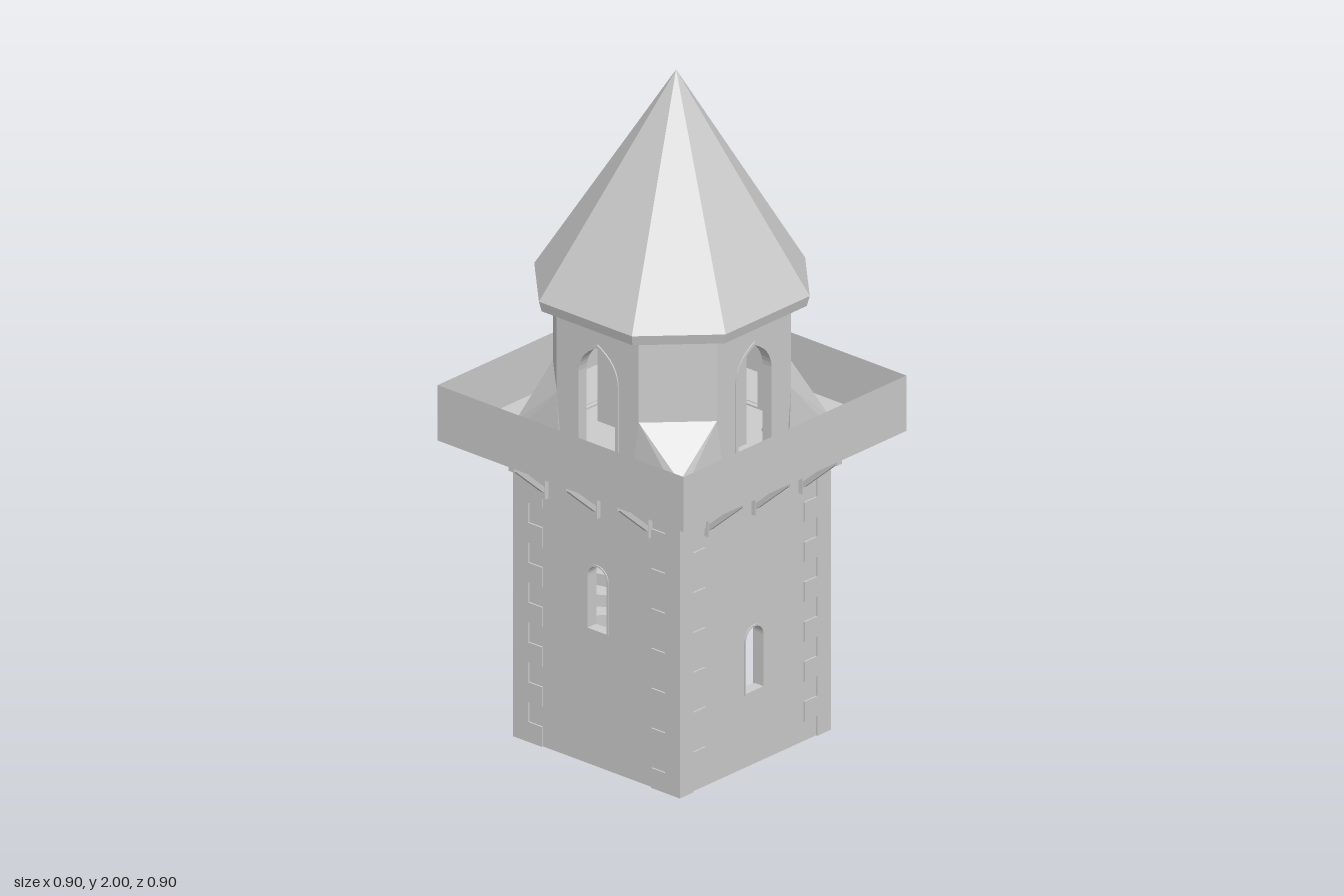
import * as THREE from 'three';
import { ConvexGeometry } from 'three/addons/geometries/ConvexGeometry.js';

const stone = new THREE.MeshStandardMaterial({ color: 0xcccccc, flatShading: true });
const sheet = new THREE.MeshStandardMaterial({ color: 0xcccccc, flatShading: true, side: THREE.DoubleSide });

function add(parent, name, geometry, x = 0, y = 0, z = 0, material = stone) {
  const mesh = new THREE.Mesh(geometry, material);
  mesh.name = name;
  mesh.position.set(x, y, z);
  parent.add(mesh);
  return mesh;
}

// Box given by its min and max on each axis
function block(parent, name, x0, x1, y0, y1, z0, z1) {
  return add(parent, name, new THREE.BoxGeometry(x1 - x0, y1 - y0, z1 - z0),
    (x0 + x1) / 2, (y0 + y1) / 2, (z0 + z1) / 2);
}

// Outline of an opening: round or pointed arch, or plain rectangle
function opening(PathType, w, y0, y1, kind) {
  const p = new PathType();
  p.moveTo(-w, y0);
  p.lineTo(w, y0);
  if (kind === 'round') {
    p.lineTo(w, y1 - w);
    p.absarc(0, y1 - w, w, 0, Math.PI, false);
  } else if (kind === 'pointed') {
    const spring = y1 - w * 1.3;
    p.lineTo(w, spring);
    p.quadraticCurveTo(w * 0.95, spring + w * 0.85, 0, y1);
    p.quadraticCurveTo(-w * 0.95, spring + w * 0.85, -w, spring);
  } else {
    p.lineTo(w, y1);
    p.lineTo(-w, y1);
  }
  p.closePath();
  return p;
}

// Wall whose outer face lies at z = front
function wall(parent, name, halfWidth, y0, y1, front, depth, hole) {
  const shape = opening(THREE.Shape, halfWidth, y0, y1, 'rect');
  shape.holes.push(hole);
  add(parent, name, new THREE.ExtrudeGeometry(shape, { depth, bevelEnabled: false, curveSegments: 8 }), 0, 0, front - depth);
}

// Thin trim around an opening
function trim(parent, name, w, y0, y1, kind, band, front, depth) {
  const shape = opening(THREE.Shape, w, y0, y1, kind);
  shape.holes.push(opening(THREE.Path, w - band, y0 + band, y1 - band, kind));
  add(parent, name, new THREE.ExtrudeGeometry(shape, { depth, bevelEnabled: false, curveSegments: 8 }), 0, 0, front - depth);
}

// Irregular octagon ring: half width a, half side b
function octagon(a, b, y) {
  return [[b, a], [a, b], [a, -b], [b, -a], [-b, -a], [-a, -b], [-a, b], [-b, a]]
    .map(([x, z]) => new THREE.Vector3(x, y, z));
}

export function createModel() {
  const tower = new THREE.Group();
  tower.name = 'tower';

  // Base slab and the small block beneath it
  block(tower, 'base', -0.3, 0.3, 0.02, 0.03, -0.3, 0.3);
  block(tower, 'footBlock', 0.03, 0.08, 0, 0.02, 0.1, 0.245);

  // Four sides: front, door side, back, left-over window side
  const openings = [[0.04, 0.235, 0.435], null, [0.04, 0.58, 0.78], [0.04, 0.42, 0.62]];
  openings.forEach((win, i) => {
    const side = new THREE.Group();
    side.name = ['frontSide', 'doorSide', 'backSide', 'farSide'][i];
    side.rotation.y = i * Math.PI / 2;
    tower.add(side);

    // Shaft wall with a door or an arched window
    const hole = win ? opening(THREE.Path, ...win, 'round') : opening(THREE.Path, 0.078, 0.031, 0.37, 'rect');
    wall(side, 'shaftWall', i % 2 ? 0.26 : 0.3, 0.02, 0.91, 0.3, 0.04, hole);
    if (win) trim(side, 'windowFrame', ...win, 'round', 0.005, 0.303, 0.03);

    // Gallery brackets
    for (const x of [-0.19, 0, 0.19]) {
      const bracket = new THREE.Group();
      bracket.name = 'bracket';
      bracket.position.x = x;
      side.add(bracket);
      block(bracket, 'bracketBeam', -0.01, 0.01, 0.888, 0.905, 0.3, 0.44);
      block(bracket, 'bracketPost', -0.01, 0.01, 0.765, 0.89, 0.3, 0.315);
      const strut = add(bracket, 'bracketStrut', new THREE.BoxGeometry(0.016, 0.014, 0.16), 0, 0.84, 0.367);
      strut.rotation.x = -Math.atan2(0.11, 0.125);
    }

    // Lantern wall with a pointed arch, and the diagonal wall beside it
    wall(side, 'lanternWall', 0.15, 0.91, 1.345, 0.3, 0.03, opening(THREE.Path, 0.068, 0.92, 1.268, 'pointed'));
    trim(side, 'archTrim', 0.077, 0.912, 1.277, 'pointed', 0.01, 0.304, 0.02);
    const corner = new THREE.Group();
    corner.name = 'lanternCorner';
    corner.rotation.y = Math.PI / 4;
    side.add(corner);
    block(corner, 'diagonalWall', -0.106, 0.106, 0.91, 1.345, 0.288, 0.318);

    // Sloped broach filling the square corner
    const broach = [[0.13, 0.91, 0.31], [0.31, 0.91, 0.13], [0.31, 0.91, 0.31], [0.3, 0.96, 0.3],
      [0.15, 1.09, 0.3], [0.3, 1.09, 0.15], [0.17, 0.91, 0.17]].map(p => new THREE.Vector3(...p));
    add(side, 'broach', new ConvexGeometry(broach));
  });

  // Corner quoins, long and short courses alternating on each face
  const step = 0.0593;
  for (const sx of [-1, 1]) for (const sz of [-1, 1]) {
    for (let i = 0; i < 15; i++) {
      const w = i % 2 ? 0.105 : 0.055, d = i % 2 ? 0.055 : 0.105;
      const y = 0.02 + step * (i + 0.5);
      // Thin facings on the two outer faces
      add(tower, 'quoin', new THREE.BoxGeometry(w, step, 0.02), sx * (0.305 - w / 2), y, sz * 0.295);
      add(tower, 'quoin', new THREE.BoxGeometry(0.02, step, d), sx * 0.295, y, sz * (0.305 - d / 2));
    }
  }

  // Winding stair inside the shaft, climbing front to back past the windows
  for (let i = 0; i < 22; i++) {
    const angle = 0.3 - i * 0.29;
    const pivot = new THREE.Group();
    pivot.name = 'stair';
    pivot.rotation.y = angle;
    tower.add(pivot);
    const y = 0.03 + i * 0.035;
    block(pivot, 'stairStep', -0.035, 0.035, Math.max(0.03, y - 0.06), y + 0.05, 0.03, 0.25);
  }
  add(tower, 'stairPost', new THREE.CylinderGeometry(0.035, 0.035, 0.87, 8), 0, 0.465, 0);

  // Gallery floor and thin parapet
  block(tower, 'galleryFloor', -0.45, 0.45, 0.905, 0.915, -0.45, 0.45);
  const parapet = new THREE.CylinderGeometry(0.45 * Math.SQRT2, 0.45 * Math.SQRT2, 0.165, 4, 1, true);
  parapet.rotateY(Math.PI / 4);
  add(tower, 'parapet', parapet, 0, 0.9875, 0, sheet);

  // Stair head in the lantern, with a small latch
  block(tower, 'stairHead', -0.08, 0.08, 0.915, 1.34, -0.2, 0.2);
  block(tower, 'latch', 0.08, 0.086, 1.19, 1.26, -0.006, 0.006);
  const ring = add(tower, 'latchRing', new THREE.TorusGeometry(0.014, 0.003, 6, 12), 0.085, 1.19, 0);
  ring.rotation.y = Math.PI / 2;

  // Eight-sided roof with a shallow fascia
  add(tower, 'roof', new ConvexGeometry([
    ...octagon(0.343, 0.166, 1.34), ...octagon(0.35, 0.17, 1.37), new THREE.Vector3(0, 2, 0.015)]));

  return tower;
}
